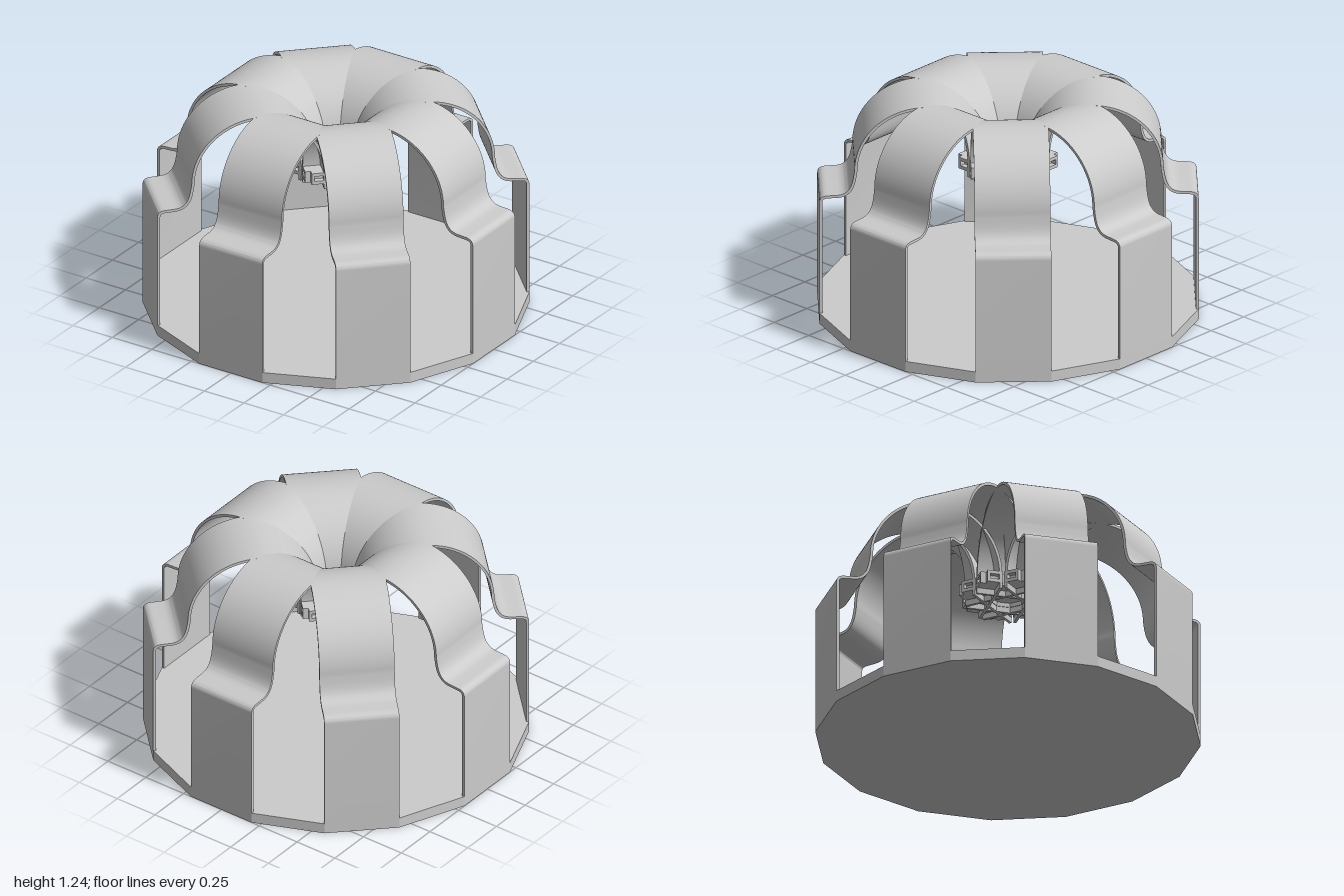
import * as THREE from 'three';
import { toCreasedNormals } from 'three/addons/utils/BufferGeometryUtils.js';

const COUNT = 8, HALF_WIDTH = 0.2, THICKNESS = 0.015;
const material = new THREE.MeshStandardMaterial({ color: 0xcccccc });

// Outer line of a strap in (radius, height): wall, shoulder, dome, funnel
function strapLine() {
  const path = new THREE.Path();
  path.moveTo(1, 0);
  path.lineTo(1, 0.695);
  path.quadraticCurveTo(1, 0.732, 0.955, 0.734);
  path.lineTo(0.9, 0.737);
  path.bezierCurveTo(0.83, 0.745, 0.825, 0.81, 0.815, 0.875);
  path.absellipse(0.44, 0.875, 0.375, 0.36, 0, Math.PI / 2, false);
  path.absellipse(0.44, 0.855, 0.35, 0.38, Math.PI / 2, Math.PI, false);
  path.lineTo(0.088, 0.776);
  return path.getPoints(16).filter((p, i, a) => i === 0 || p.distanceTo(a[i - 1]) > 1e-4);
}

// Thicken an open line to its left into a closed outline
function thicken(points, t) {
  const inner = points.map((p, i) => {
    const a = points[Math.max(i - 1, 0)], b = points[Math.min(i + 1, points.length - 1)];
    const d = b.clone().sub(a).normalize();
    return new THREE.Vector2(p.x - d.y * t, p.y + d.x * t);
  });
  return new THREE.Shape([...points, ...inner.reverse()]);
}

function rect(Type, x0, y0, x1, y1) {
  return new Type([[x0, y0], [x1, y0], [x1, y1], [x0, y1]].map(([x, y]) => new THREE.Vector2(x, y)));
}

// Extrude a profile across the width of a strap
function across(shape) {
  const geo = new THREE.ExtrudeGeometry(shape, { depth: HALF_WIDTH * 2, bevelEnabled: false });
  geo.translate(0, 0, -HALF_WIDTH);
  return toCreasedNormals(geo, 0.6);
}

export function createModel() {
  const group = new THREE.Group();
  const add = (name, geo, parent = group) => {
    const mesh = new THREE.Mesh(geo, material);
    mesh.name = name;
    parent.add(mesh);
    return mesh;
  };

  // Sixteen-sided floor plate whose sides match the straps
  const corners = [];
  for (let i = 0; i < COUNT; i++) {
    for (const side of [-1, 1]) {
      corners.push(new THREE.Vector2(1, side * HALF_WIDTH).rotateAround(new THREE.Vector2(), i * Math.PI / 4));
    }
  }
  const plate = new THREE.ExtrudeGeometry(new THREE.Shape(corners), { depth: 0.06, bevelEnabled: false });
  plate.rotateX(-Math.PI / 2);
  add('floorPlate', plate);

  // Straps with a hollow bar at their inner ends
  const strapGeo = across(thicken(strapLine(), THICKNESS));
  const barShape = rect(THREE.Shape, 0.085, 0.807, 0.17, 0.872);
  barShape.holes.push(rect(THREE.Path, 0.1, 0.826, 0.155, 0.854));
  const barGeo = across(barShape);
  for (let i = 0; i < COUNT; i++) {
    const arm = new THREE.Group();
    arm.name = `arm${i + 1}`;
    add('strap', strapGeo, arm);
    add('hollowBar', barGeo, arm);
    arm.rotation.y = i * Math.PI / 4;
    group.add(arm);
  }

  // Shallow faceted cap closing the funnel
  const cap = new THREE.ConeGeometry(0.1, 0.02, COUNT);
  cap.rotateY(Math.PI / 8);
  cap.translate(0, 0.84, 0);
  add('funnelCap', toCreasedNormals(cap, 0.1));

  return group;
}
